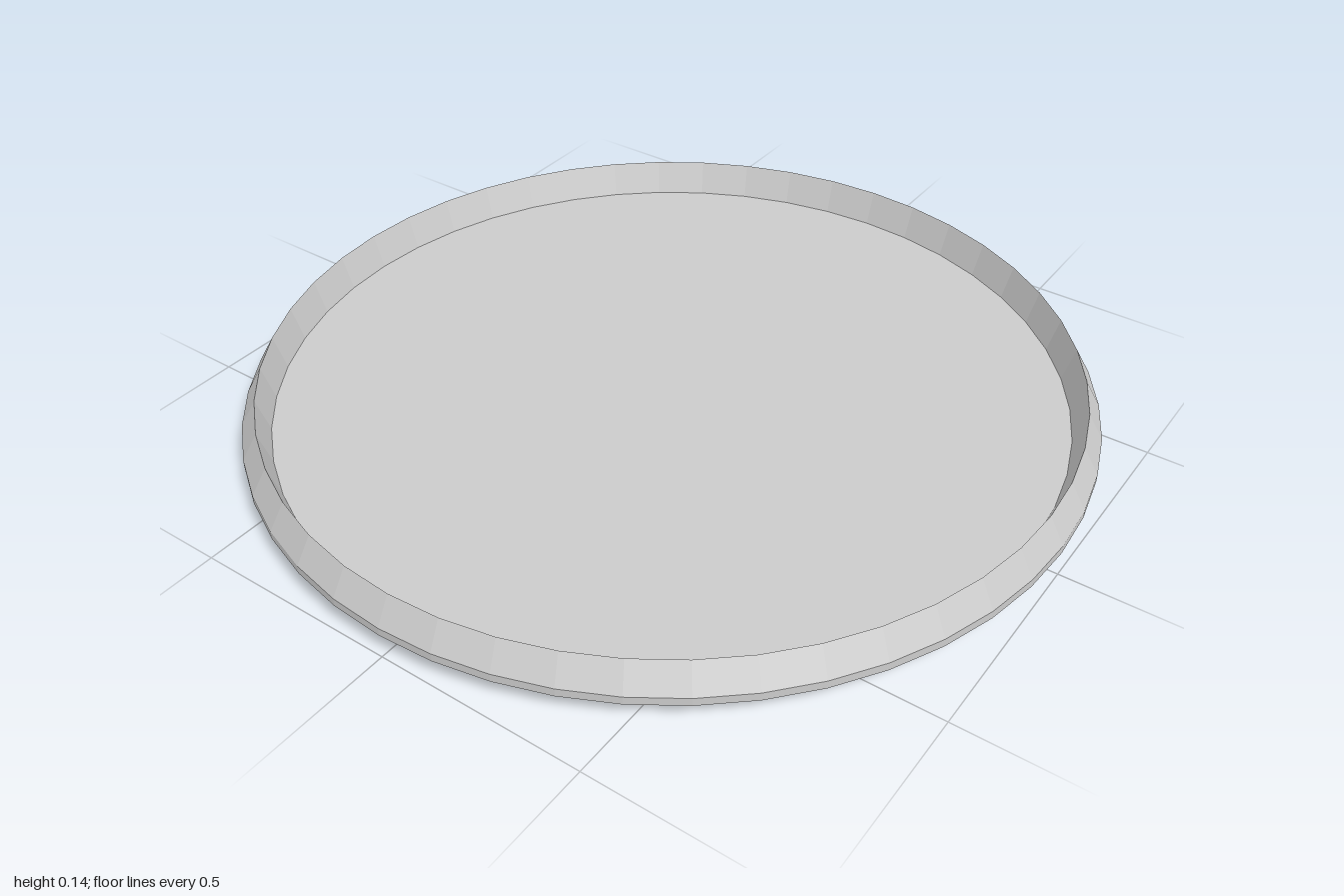
import * as THREE from 'three';

const SIDES = 48;

// Faceted ring or dish turned from [radius, height] points, listed bottom centre outwards and up
function turned(name, profile, material) {
  const points = profile.map(([r, y]) => new THREE.Vector2(r, y));
  const mesh = new THREE.Mesh(new THREE.LatheGeometry(points, SIDES), material);
  mesh.name = name;
  return mesh;
}

export function createModel() {
  const group = new THREE.Group();
  group.name = 'roundTray';
  const material = new THREE.MeshStandardMaterial({ color: 0xcccccc, flatShading: true });

  // Shallow base, tapering slightly towards the ground
  group.add(turned('base', [[0, 0], [0.925, 0], [0.935, 0.06]], material));

  // Overhanging rim: flat underside, short lip, outer bevel, then the sloped inner wall
  group.add(turned('rim', [[0.935, 0.06], [1, 0.06], [1, 0.08], [0.963, 0.145], [0.936, 0.062]], material));

  // Flat tray floor
  const floor = turned('floor', [[0.936, 0.062], [0, 0.062]], material);
  group.add(floor);

  return group;
}
